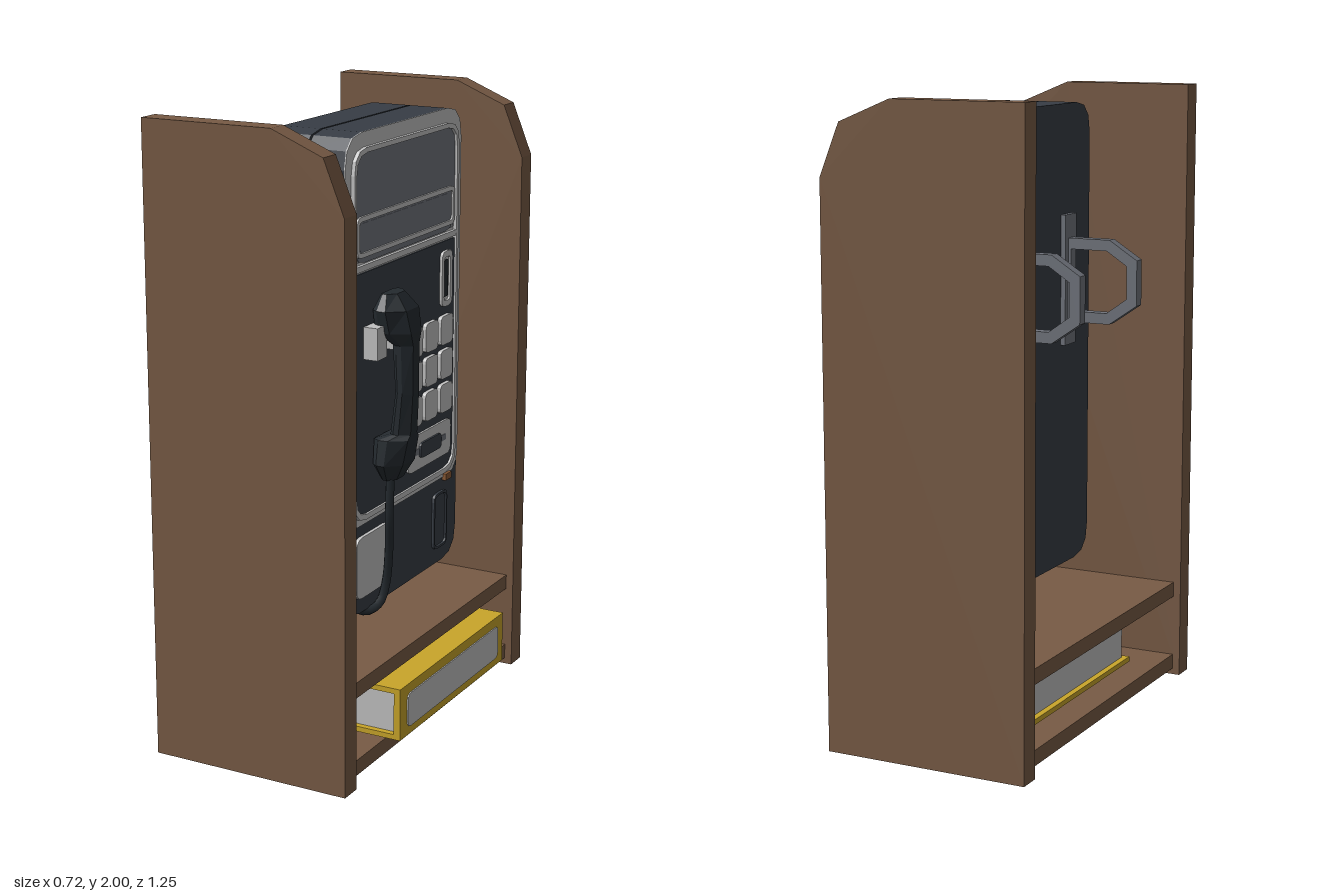
import * as THREE from 'three';

const mat = (name, color) => {
  const m = new THREE.MeshStandardMaterial({ color });
  m.name = name;
  return m;
};

export function createModel() {
  const root = new THREE.Group();
  root.name = 'payphoneBooth';
  const wood = mat('wood', 0x785b45), dark = mat('charcoal', 0x373d45), black = mat('black', 0x242a2f),
    light = mat('lightGrey', 0xc2c2c2), grey = mat('metalGrey', 0x70747c),
    yellow = mat('yellow', 0xc9a62a), copper = mat('copper', 0x8a5a35);

  const add = (name, geo, m, parent = root) => {
    const mesh = new THREE.Mesh(geo, m);
    mesh.name = name;
    parent.add(mesh);
    return mesh;
  };
  // box from its limits
  const box = (name, m, x0, x1, y0, y1, z0, z1, parent) => {
    const mesh = add(name, new THREE.BoxGeometry(x1 - x0, y1 - y0, z1 - z0), m, parent);
    mesh.position.set((x0 + x1) / 2, (y0 + y1) / 2, (z0 + z1) / 2);
    return mesh;
  };
  // rounded rectangle; u runs along -z, v is up
  const outline = (P, u0, u1, v0, v1, r, rt = r) => {
    const s = new P();
    s.moveTo(u0 + r, v0);
    s.lineTo(u1 - r, v0);
    s.quadraticCurveTo(u1, v0, u1, v0 + r);
    s.lineTo(u1, v1 - rt);
    s.quadraticCurveTo(u1, v1, u1 - rt, v1);
    s.lineTo(u0 + rt, v1);
    s.quadraticCurveTo(u0, v1, u0, v1 - rt);
    s.lineTo(u0, v0 + r);
    s.quadraticCurveTo(u0, v0, u0 + r, v0);
    return s;
  };
  // plate facing +x, optionally with a rounded hole
  const plate = (name, m, x0, x1, rect, hole) => {
    const s = outline(THREE.Shape, ...rect);
    if (hole) s.holes.push(outline(THREE.Path, ...hole));
    const mesh = add(name, new THREE.ExtrudeGeometry(s, { depth: x1 - x0, bevelEnabled: false, curveSegments: 3 }), m);
    mesh.rotation.y = Math.PI / 2;
    mesh.position.x = x0;
    return mesh;
  };

  // wooden enclosure
  const side = new THREE.Shape([[-0.36, 0], [0.312, 0], [0.312, 1.765], [0.245, 1.93], [0.075, 2], [-0.36, 2]]
    .map(p => new THREE.Vector2(...p)));
  const sideGeo = new THREE.ExtrudeGeometry(side, { depth: 0.072, bevelEnabled: false });
  add('leftSidePanel', sideGeo, wood).position.z = 0.555;
  add('rightSidePanel', sideGeo, wood).position.z = -0.627;
  box('upperShelf', wood, -0.335, 0.287, 0.275, 0.325, -0.556, 0.556);
  box('lowerShelf', wood, -0.335, 0.287, 0.02, 0.07, -0.556, 0.556);

  // directory book: covers, spine, pages and spine label
  const book = new THREE.Group();
  book.name = 'directoryBook';
  root.add(book);
  box('bottomCover', yellow, -0.26, 0.34, 0.09, 0.107, -0.38, 0.36, book);
  box('topCover', yellow, -0.26, 0.34, 0.243, 0.26, -0.38, 0.36, book);
  box('spine', yellow, 0.335, 0.357, 0.09, 0.26, -0.38, 0.36, book);
  box('pages', light, -0.24, 0.335, 0.107, 0.243, -0.36, 0.34, book);
  plate('spineLabel', light, 0.356, 0.361, [-0.313, 0.338, 0.117, 0.228, 0.02]);

  // phone housing in two shells with a seam
  plate('rearShell', dark, -0.09, 0.04, [-0.381, 0.381, 0.45, 1.95, 0.1]);
  plate('seam', dark, 0.039, 0.048, [-0.374, 0.374, 0.457, 1.943, 0.1]);
  plate('frontShell', dark, 0.047, 0.174, [-0.381, 0.381, 0.45, 1.95, 0.1]);
  plate('facePlate', light, 0.173, 0.178, [-0.381, 0.381, 0.738, 1.95, 0.075, 0.1]);
  plate('faceRim', light, 0.177, 0.19, [-0.345, 0.345, 0.757, 1.905, 0.075], [-0.331, 0.331, 0.774, 1.89, 0.065]);
  plate('rimInset', grey, 0.177, 0.181, [-0.332, 0.332, 1.56, 1.891, 0.065, 0.065],
    [-0.323, 0.323, 1.566, 1.882, 0.01, 0.06]);
  plate('controlPanel', dark, 0.177, 0.183, [-0.332, 0.332, 0.773, 1.53, 0.065, 0.005]);
  plate('dividerBar', light, 0.177, 0.189, [-0.338, 0.338, 1.538, 1.556, 0.004]);

  // instruction window
  plate('windowFrame', light, 0.177, 0.187, [-0.323, 0.323, 1.578, 1.702, 0.025], [-0.308, 0.31, 1.592, 1.687, 0.015]);
  plate('window', grey, 0.177, 0.182, [-0.3, 0.302, 1.598, 1.68, 0.01]);

  // coin slot
  plate('coinSlotFrame', light, 0.18, 0.192, [0.228, 0.302, 1.319, 1.5, 0.025], [0.244, 0.286, 1.338, 1.48, 0.012]);
  plate('coinSlotInset', light, 0.18, 0.185, [0.244, 0.286, 1.338, 1.48, 0.012]);
  plate('coinSlot', black, 0.184, 0.188, [0.251, 0.279, 1.35, 1.47, 0.006]);

  // keypad
  for (let r = 0; r < 3; r++)
    for (let c = 0; c < 3; c++) {
      const u = 0.005 + c * 0.106, v = 0.97 + r * 0.113;
      plate('key', light, 0.18, 0.196, [u, u + 0.086, v, v + 0.095, 0.018]);
    }

  // card reader
  plate('cardPlate', light, 0.18, 0.19, [0.005, 0.307, 0.821, 0.938, 0.025]);
  plate('cardGuide', grey, 0.189, 0.192, [0.045, 0.27, 0.872, 0.892, 0.006]);
  plate('cardSlot', dark, 0.189, 0.197, [0.079, 0.228, 0.857, 0.907, 0.018]);

  // lower information plate, coin return, small catch, side lock
  plate('infoPlate', light, 0.173, 0.185, [-0.323, -0.1, 0.503, 0.702, 0.035]);
  plate('coinReturnFrame', dark, 0.173, 0.183, [0.207, 0.302, 0.503, 0.694, 0.025], [0.215, 0.294, 0.511, 0.686, 0.02]);
  plate('coinReturnFlap', dark, 0.173, 0.178, [0.217, 0.292, 0.513, 0.684, 0.02]);
  box('catch', copper, 0.174, 0.188, 0.726, 0.748, -0.322, -0.28);
  const lock = add('sideLock', new THREE.CylinderGeometry(0.026, 0.026, 0.025, 12), light);
  lock.rotation.x = Math.PI / 2;
  lock.position.set(0.105, 1.412, 0.39);

  // cradle arms
  for (const z of [0.217, 0.07]) box('cradleArm', light, 0.178, 0.23, 1.265, 1.365, z, z + 0.06);

  // handset lofted from octagonal sections: height, back x, front x, half width
  const sections = [[0.87, 0.205, 0.25, 0.045], [0.925, 0.19, 0.28, 0.08], [1.005, 0.19, 0.295, 0.072],
    [1.02, 0.235, 0.297, 0.044], [1.15, 0.25, 0.303, 0.041], [1.3, 0.24, 0.303, 0.04],
    [1.34, 0.19, 0.303, 0.068], [1.41, 0.19, 0.29, 0.083], [1.457, 0.205, 0.25, 0.05]];
  const ring = ([y, x0, x1, w]) => [[x0, 0.8], [x0 + (x1 - x0) * 0.2, 1], [x0 + (x1 - x0) * 0.5, 1], [x1, 0.5],
    [x1, -0.5], [x0 + (x1 - x0) * 0.5, -1], [x0 + (x1 - x0) * 0.2, -1], [x0, -0.8]].map(([x, k]) => [x, y, 0.165 + k * w]);
  const rings = sections.map(ring), pos = [];
  const tri = (a, b, c) => pos.push(...a, ...b, ...c);
  for (let i = 0; i < rings.length - 1; i++)
    for (let j = 0; j < 8; j++) {
      const k = (j + 1) % 8, a = rings[i], b = rings[i + 1];
      tri(a[j], a[k], b[k]);
      tri(a[j], b[k], b[j]);
    }
  const top = rings[rings.length - 1], bottom = rings[0];
  for (let j = 1; j < 7; j++) {
    tri(top[0], top[j], top[j + 1]);
    tri(bottom[0], bottom[j + 1], bottom[j]);
  }
  const handset = new THREE.BufferGeometry();
  handset.setAttribute('position', new THREE.Float32BufferAttribute(pos, 3));
  handset.computeVertexNormals();
  add('handset', handset, black);

  // cord
  const cord = new THREE.CatmullRomCurve3([[0.23, 0.89, 0.19], [0.228, 0.75, 0.193], [0.215, 0.62, 0.17],
    [0.2, 0.51, 0.163], [0.19, 0.455, 0.185], [0.17, 0.438, 0.225], [0.14, 0.455, 0.26]]
    .map(p => new THREE.Vector3(...p)));
  add('cord', new THREE.TubeGeometry(cord, 30, 0.015, 6), black);

  // rear mounting brackets: base strip and an angular loop
  const pts = list => list.map(p => new THREE.Vector2(...p));
  const loop = new THREE.Shape(pts([[-0.1, 1.255], [-0.25, 1.255], [-0.345, 1.32], [-0.345, 1.465], [-0.25, 1.525], [-0.1, 1.525]]));
  loop.holes.push(new THREE.Path(pts([[-0.115, 1.29], [-0.115, 1.49], [-0.24, 1.49], [-0.31, 1.445], [-0.31, 1.34], [-0.24, 1.29]])));
  const loopGeo = new THREE.ExtrudeGeometry(loop, { depth: 0.038, bevelEnabled: false });
  for (const z of [0.21, -0.21]) {
    box('bracketBase', grey, -0.106, -0.089, 1.18, 1.6, z - 0.04, z + 0.04);
    add('bracketLoop', loopGeo, grey).position.z = z - 0.019;
  }
  return root;
}
